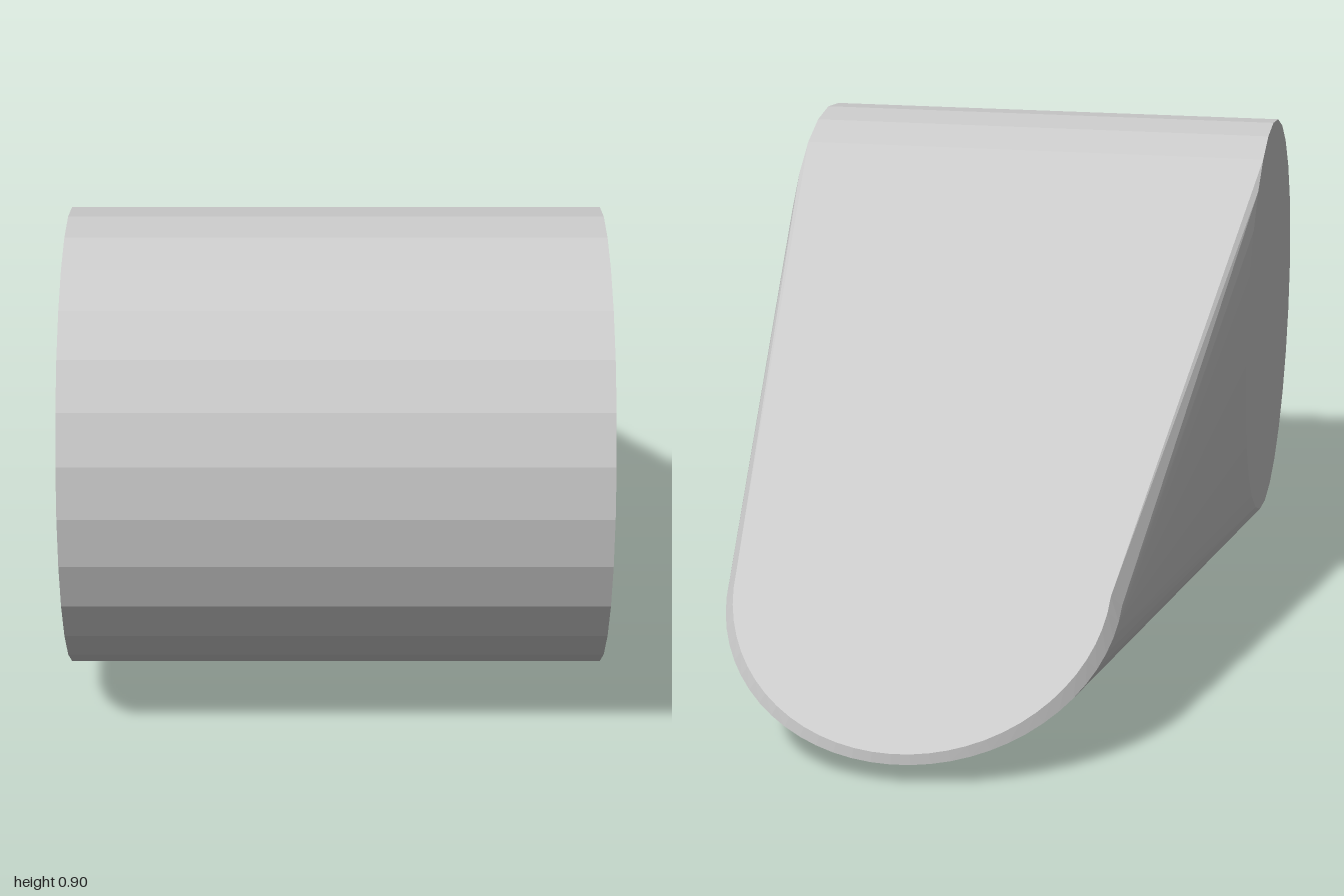
import * as THREE from 'three';
import { ConvexGeometry } from 'three/addons/geometries/ConvexGeometry.js';

const SIDES = 28;
const ARC_STEPS = 32;

// Rim points of the cross-wise drum at both ends
function drumPoints(halfWidth, radius, y, z) {
  const points = [];
  for (let i = 0; i < SIDES; i++) {
    const a = (i / SIDES) * Math.PI * 2;
    for (const x of [-halfWidth, halfWidth]) {
      points.push(new THREE.Vector3(x, y + radius * Math.sin(a), z + radius * Math.cos(a)));
    }
  }
  return points;
}

// Lower half of a tilted disc, leaning down towards the back
function tiltedArc(radius, drop, reach, y, z) {
  const points = [];
  for (let i = 0; i <= ARC_STEPS; i++) {
    const a = (i / ARC_STEPS - 0.5) * Math.PI;
    points.push(new THREE.Vector3(
      radius * Math.sin(a), y - drop * Math.cos(a), z - reach * Math.cos(a)));
  }
  return points;
}

export function createModel() {
  const group = new THREE.Group();
  group.name = 'roundedWedge';

  // One convex skin stretched over the drum, the rounded tip and the keel
  const points = [
    ...drumPoints(0.485, 0.42, 0.482, 0.58),
    ...tiltedArc(0.35, 0.225, 0.27, 0.285, -0.73), // upper edge of the tip
    ...tiltedArc(0.368, 0.222, 0.288, 0.262, -0.712), // lower edge of the tip
    ...tiltedArc(0.35, 0.225, 0.27, 0.225, 0.57), // keel under the drum
  ];
  const body = new THREE.Mesh(
    new ConvexGeometry(points),
    new THREE.MeshStandardMaterial({ color: 0xcccccc, flatShading: true }));
  body.name = 'body';
  group.add(body);
  return group;
}
